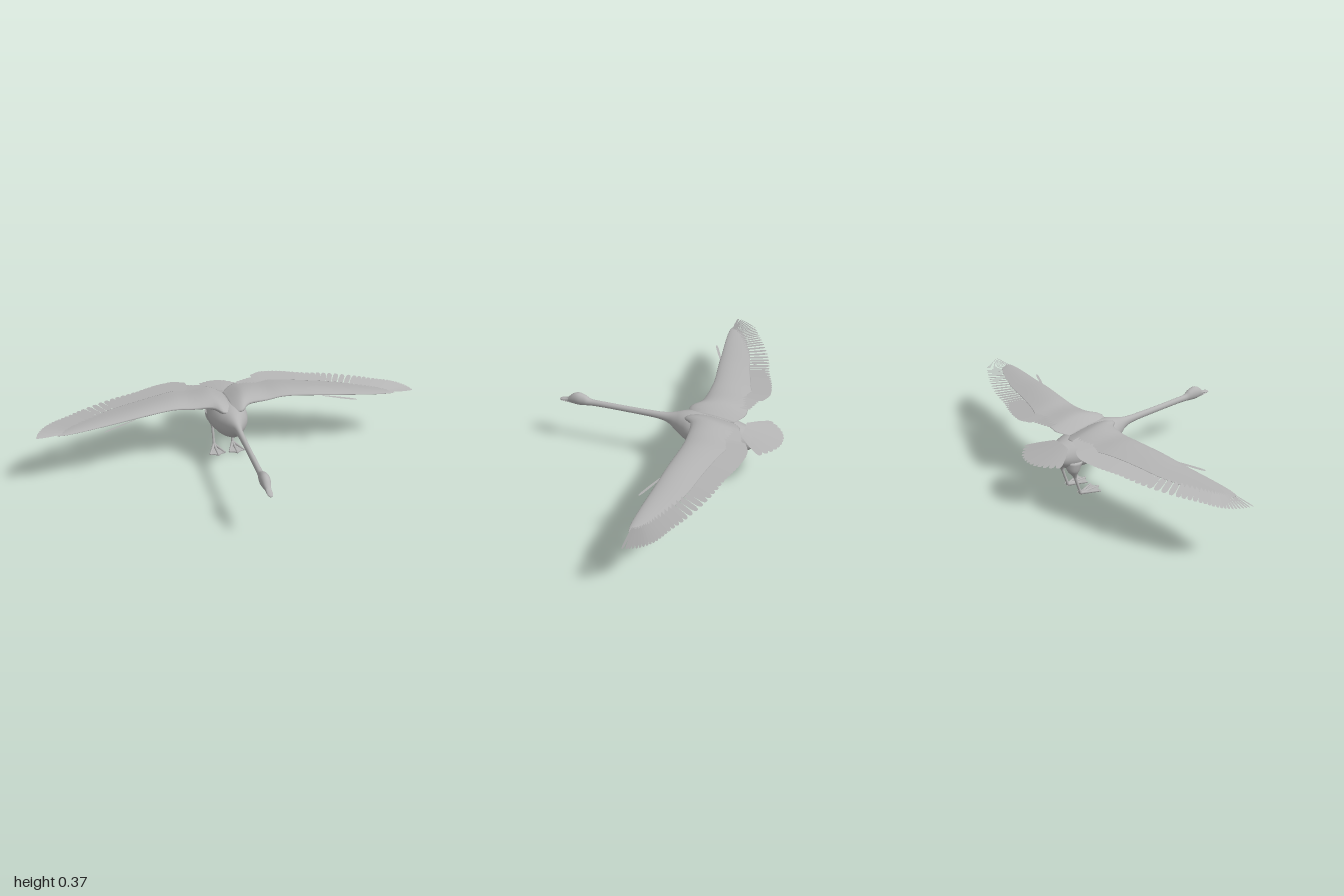
import * as THREE from 'three';
import { mergeGeometries } from 'three/addons/utils/BufferGeometryUtils.js';

const V = (x, y, z) => new THREE.Vector3(x, y, z);

// Smoothly subdivide a table of cross-section rows
function resample(rows, k) {
  const out = [], n = rows.length;
  for (let i = 0; i < n - 1; i++) for (let j = 0; j < k; j++) {
    const t = j / k;
    const a = rows[Math.max(i - 1, 0)], b = rows[i], c = rows[i + 1], d = rows[Math.min(i + 2, n - 1)];
    out.push(b.map((p, q) => {
      const m0 = (c[q] - a[q]) / 2, m1 = (d[q] - p) / 2, e = c[q] - p;
      return p + t * (m0 + t * (3 * e - 2 * m0 - m1 + t * (m0 + m1 - 2 * e)));
    }));
  }
  out.push(rows[n - 1]);
  return out;
}

// Closed skin over rings of points, turned outward whatever the ring order
function loft(rings) {
  const m = rings[0].length, n = rings.length, pts = rings.flat(), idx = [];
  for (let i = 0; i < n - 1; i++) for (let j = 0; j < m; j++) {
    const a = i * m + j, b = i * m + (j + 1) % m;
    idx.push(a, b, a + m, b, b + m, a + m);
  }
  for (const r of [0, n - 1]) {
    const c = pts.length;
    pts.push(rings[r].reduce((s, p) => s.add(p), V(0, 0, 0)).divideScalar(m));
    for (let j = 0; j < m; j++) {
      const a = r * m + j, b = r * m + (j + 1) % m;
      if (r) idx.push(a, b, c); else idx.push(b, a, c);
    }
  }
  let vol = 0;
  for (let i = 0; i < idx.length; i += 3) vol += pts[idx[i]].dot(pts[idx[i + 1]].clone().cross(pts[idx[i + 2]]));
  if (vol < 0) idx.reverse();
  const g = new THREE.BufferGeometry().setFromPoints(pts);
  g.setIndex(idx);
  g.computeVertexNormals();
  return g;
}

const ring = (m, f) => Array.from({ length: m }, (_, j) => f(j / m * Math.PI * 2));

// Tapered rod between two points
function rod(a, b, r1, r2) {
  const g = new THREE.CylinderGeometry(r2, r1, a.distanceTo(b), 8);
  g.applyQuaternion(new THREE.Quaternion().setFromUnitVectors(V(0, 1, 0), b.clone().sub(a).normalize()));
  const c = a.clone().add(b).multiplyScalar(0.5);
  return g.translate(c.x, c.y, c.z);
}

// Flat feather from root to tip, slightly tilted so that neighbours overlap
function feather(a, b, w, tilt) {
  const d = b.clone().sub(a);
  const s = V(d.z, 0, -d.x).normalize().multiplyScalar(w / 2);
  s.y = tilt;
  const pts = [], idx = [];
  [[0, 0.5], [0.5, 1], [0.85, 0.95], [0.96, 0.7], [1, 0.3]].forEach(([t, k], i) => {
    const p = a.clone().addScaledVector(d, t);
    pts.push(p.clone().addScaledVector(s, k), p.clone().addScaledVector(s, -k));
    if (i) idx.push(2 * i - 2, 2 * i - 1, 2 * i, 2 * i - 1, 2 * i + 1, 2 * i);
  });
  const g = new THREE.BufferGeometry().setFromPoints(pts);
  g.setIndex(idx);
  g.computeVertexNormals();
  return g;
}

export function createModel() {
  const bird = new THREE.Group();
  bird.name = 'bird';
  const grey = new THREE.MeshStandardMaterial({ color: 0xb4b4b4, side: THREE.DoubleSide });
  grey.name = 'plumageGrey';
  const add = (name, geo) => {
    const m = new THREE.Mesh(geo, grey);
    m.name = name;
    bird.add(m);
  };
  // Skin along z from rows of z, top, bottom, half width
  const hull = (rows, k) => loft(resample(rows, k).map(([z, t, b, w]) =>
    ring(24, (a) => V(w * Math.cos(a), (t + b) / 2 + (t - b) / 2 * Math.sin(a), z))));

  // Body, neck and head in one skin
  add('body', hull([
    [-0.53, 0.258, 0.248, 0.006], [-0.5, 0.27, 0.232, 0.028], [-0.45, 0.284, 0.198, 0.052],
    [-0.4, 0.3, 0.166, 0.072], [-0.35, 0.315, 0.149, 0.088], [-0.28, 0.33, 0.149, 0.098],
    [-0.2, 0.338, 0.155, 0.1], [-0.13, 0.338, 0.17, 0.085], [-0.08, 0.33, 0.19, 0.06],
    [-0.04, 0.317, 0.22, 0.038], [0, 0.307, 0.249, 0.022], [0.06, 0.302, 0.263, 0.016],
    [0.2, 0.299, 0.266, 0.014], [0.36, 0.299, 0.266, 0.014], [0.42, 0.301, 0.264, 0.016],
    [0.45, 0.318, 0.26, 0.022], [0.485, 0.327, 0.257, 0.026], [0.515, 0.318, 0.259, 0.022],
    [0.54, 0.295, 0.264, 0.015], [0.555, 0.284, 0.266, 0.008]], 5));
  add('upperBill', hull([[0.52, 0.305, 0.272, 0.014], [0.55, 0.287, 0.27, 0.014],
    [0.575, 0.28, 0.268, 0.014], [0.588, 0.276, 0.266, 0.01], [0.592, 0.271, 0.267, 0.004]], 3));
  add('lowerBill', hull([[0.52, 0.272, 0.26, 0.012], [0.56, 0.269, 0.262, 0.011],
    [0.585, 0.267, 0.263, 0.007]], 3));

  // Tail fan
  const tail = [];
  for (let i = -6; i <= 6; i++) {
    const a = i / 6;
    tail.push(feather(V(0.05 * a, 0.3 - 0.01 * a * a, -0.4),
      V(0.138 * a, 0.262, -0.595 + 0.08 * Math.pow(Math.abs(a), 2.2)), 0.034, 0.002));
  }
  add('tailFeathers', mergeGeometries(tail));

  for (const s of [1, -1]) {
    const side = s > 0 ? 'left' : 'right';

    // Wing skin: rows of x, leading z, trailing z, top, bottom
    const wing = resample([
      [0, -0.12, -0.34, 0.336, 0.3], [0.05, -0.1, -0.385, 0.362, 0.3], [0.1, -0.147, -0.39, 0.371, 0.312],
      [0.2, -0.16, -0.39, 0.363, 0.32], [0.3, -0.162, -0.355, 0.368, 0.333], [0.45, -0.142, -0.315, 0.362, 0.33],
      [0.6, -0.125, -0.28, 0.348, 0.323], [0.75, -0.107, -0.225, 0.336, 0.317],
      [0.85, -0.1, -0.18, 0.327, 0.315], [0.895, -0.106, -0.13, 0.32, 0.317]], 4);
    add(side + 'Wing', loft(wing.map(([x, zl, zt, top, bot]) => {
      const mid = bot + 0.5 * (top - bot);
      return ring(24, (a) => {
        const u = (1 - Math.cos(a)) / 2;
        const f = Math.sin(Math.PI * Math.pow(u, 0.65)) * Math.sign(Math.sin(a));
        return V(s * x, mid + (top - mid) * f, zl + (zt - zl) * u);
      });
    })));

    // Flight feathers fan from the wing out to the tip
    const curve = (list) => new THREE.CatmullRomCurve3(list.map(([x, z]) =>
      V(s * x, 0.347 - 0.028 * THREE.MathUtils.clamp((x - 0.3) / 0.7, 0, 1), z)));
    const roots = curve([[0.21, -0.33], [0.24, -0.33], [0.32, -0.3], [0.42, -0.26], [0.54, -0.24],
      [0.67, -0.2], [0.76, -0.17], [0.82, -0.15], [0.85, -0.14], [0.865, -0.125], [0.87, -0.115]]);
    const tips = curve([[0.2, -0.45], [0.25, -0.47], [0.35, -0.457], [0.46, -0.42], [0.6, -0.385],
      [0.75, -0.325], [0.85, -0.272], [0.92, -0.237], [0.965, -0.195], [0.99, -0.15], [1, -0.115]]);
    const blades = [], count = 44;
    for (let i = 0; i < count; i++) {
      const a = i / (count - 1), t = 1 - Math.pow(1 - a, 0.8);
      blades.push(feather(roots.getPoint(t), tips.getPoint(t),
        THREE.MathUtils.lerp(0.045, 0.014, Math.min(1, t / 0.8)), s * 0.003));
    }
    add(side + 'FlightFeathers', mergeGeometries(blades));

    // Shoulder feathers
    const shoulder = [];
    for (let i = 0; i < 6; i++) {
      const x = 0.1 + i * 0.018;
      shoulder.push(feather(V(s * x, 0.352, -0.32), V(s * (x + 0.005), 0.344, -0.4 - i * 0.006), 0.028, s * 0.002));
    }
    add(side + 'ShoulderFeathers', mergeGeometries(shoulder));

    // Small feather at the wing bend
    add(side + 'BendFeather', feather(V(s * 0.5, 0.334, -0.145), V(s * 0.667, 0.326, -0.073), 0.014, 0.001));

    // Leg: rows of y, z, radius
    const lx = 0.053;
    add(side + 'Leg', loft(resample([
      [0.21, -0.355, 0.042], [0.165, -0.366, 0.034], [0.14, -0.363, 0.021], [0.118, -0.357, 0.011],
      [0.1, -0.353, 0.008], [0.05, -0.338, 0.007], [0.025, -0.33, 0.008], [0.008, -0.325, 0.009]], 3)
      .map(([y, z, r]) => ring(12, (a) => V(s * lx + r * Math.cos(a), y, z + r * Math.sin(a))))));

    // Webbed foot with three front toes and a hind toe
    const heel = V(s * lx, 0.01, -0.325);
    const ends = [[0.012, -0.232], [0.053, -0.212], [0.096, -0.232]];
    const parts = ends.map(([x, z]) => rod(heel, V(s * x, 0.006, z), 0.009, 0.005));
    parts.push(rod(V(s * lx, 0.034, -0.328), V(s * lx, 0.02, -0.347), 0.004, 0.002));
    add(side + 'Toes', mergeGeometries(parts));
    const web = new THREE.Shape();
    web.moveTo(s * lx, 0.332);
    web.lineTo(s * 0.012, 0.232);
    web.quadraticCurveTo(s * 0.034, 0.235, s * 0.053, 0.212);
    web.quadraticCurveTo(s * 0.073, 0.235, s * 0.096, 0.232);
    web.closePath();
    const webGeo = new THREE.ExtrudeGeometry(web, { depth: 0.006, bevelEnabled: false, curveSegments: 5 });
    add(side + 'Web', webGeo.rotateX(-Math.PI / 2).translate(0, 0.001, 0));
  }
  return bird;
}
